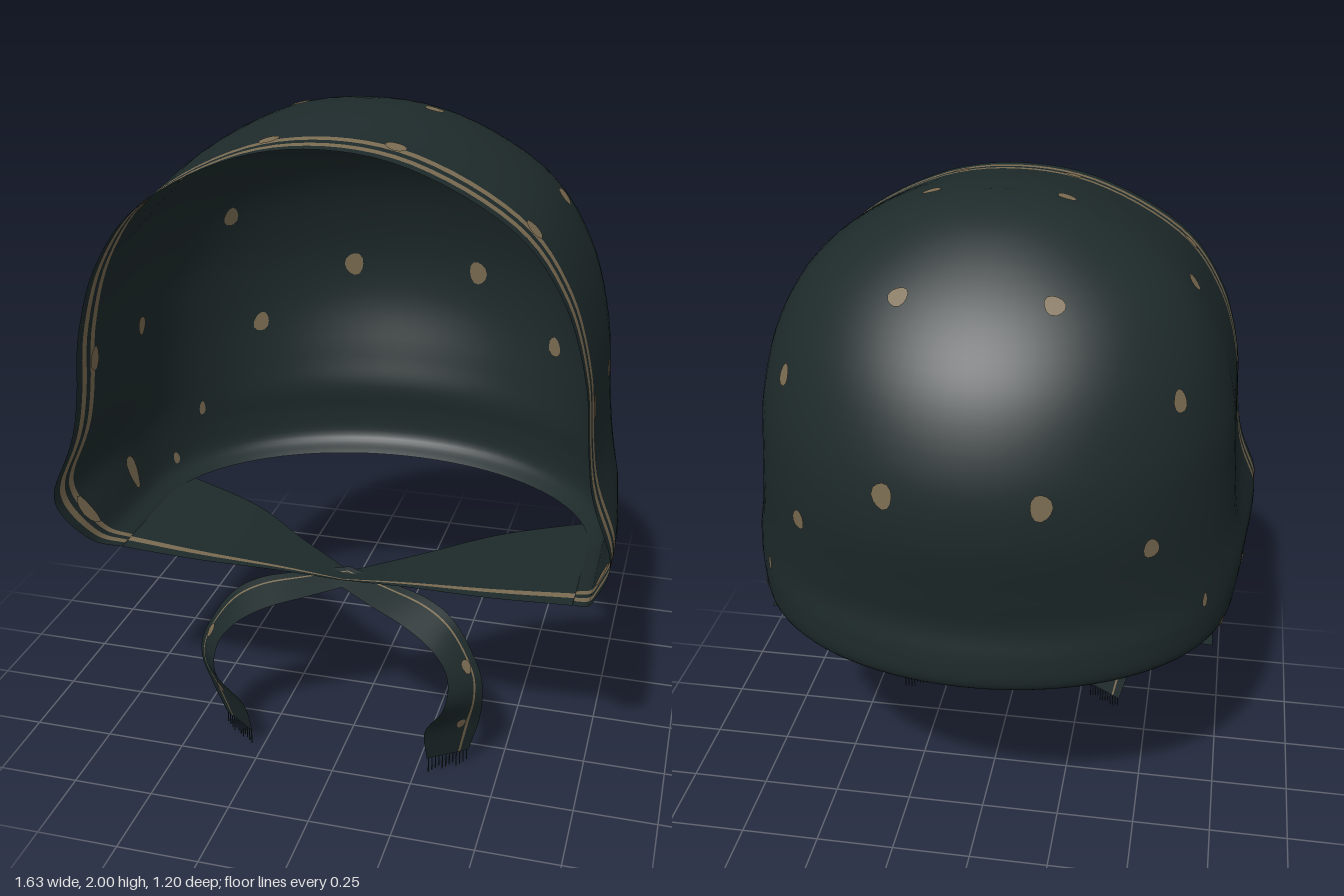
import * as THREE from 'three';
import { mergeVertices } from 'three/addons/utils/BufferGeometryUtils.js';

const fabric = new THREE.MeshStandardMaterial({ color: 0x1e2a2b, side: THREE.DoubleSide });
fabric.name = 'darkFabric';
const tan = new THREE.MeshStandardMaterial({ color: 0x7b6c52, side: THREE.DoubleSide });
tan.name = 'tanPrint';

const V = (x, y, z) => new THREE.Vector3(x, y, z);
const clamp = THREE.MathUtils.clamp;
const spline = (pts) => new THREE.CatmullRomCurve3(pts.map((p) => V(...p)), false, 'catmullrom');

// Hood outline by height: half width, height, back depth, front depth
const rows = [
  [0.70, 0.645, -0.48, 0.41], [0.75, 0.69, -0.535, 0.48], [0.765, 0.78, -0.54, 0.56],
  [0.765, 0.88, -0.53, 0.60], [0.75, 1.0, -0.555, 0.585], [0.733, 1.2, -0.595, 0.56],
  [0.715, 1.4, -0.58, 0.555], [0.65, 1.62, -0.495, 0.55], [0.515, 1.81, -0.335, 0.545],
  [0.26, 1.957, -0.12, 0.54], [0, 2.0, 0.08, 0.535], [-0.26, 1.957, 0.28, 0.535],
];
const outline = spline(rows.map((r) => r.slice(0, 3)));
const frontLine = spline(rows.map((r) => [r[3], 0, 0]));
const MID = 0.06, BEND = 0.6, TOP = (rows.length - 2) / (rows.length - 1);

// Hood surface: s runs from one front edge round the back to the other, t from rim to crown
function hoodAt(s, t) {
  const p = outline.getPoint(t * TOP);
  const front = frontLine.getPoint(t * TOP).x;
  const a = Math.abs(s);
  let x = p.x, z;
  if (a < BEND) {
    const angle = (a / BEND) * Math.PI / 2;
    x *= Math.sin(angle);
    z = MID - (MID - p.z) * Math.cos(angle);
  } else {
    z = MID + (front - MID) * (a - BEND) / (1 - BEND);
  }
  // cheek flare and slight dip of the front edge
  const flare = 0.05 * Math.exp(-(((p.y - 0.9) / 0.13) ** 2)) * THREE.MathUtils.smoothstep(z, -0.2, 0.5);
  const dip = 0.05 * THREE.MathUtils.smoothstep(z, 0.1, 0.56) * clamp((p.y - 1.2) / 0.75, 0, 1);
  return V(Math.sign(s) * (x + flare), p.y - dip, z);
}

// Grid over a surface; columns whose middle lies in a stripe take the tan material
function sheet(name, at, us, nv, isStripe) {
  const pos = [], index = [], geo = new THREE.BufferGeometry();
  for (const u of us) for (let j = 0; j <= nv; j++) pos.push(...at(u, j / nv).toArray());
  for (let i = 0; i < us.length - 1; i++) {
    geo.addGroup(index.length, nv * 6, isStripe((us[i] + us[i + 1]) / 2) ? 1 : 0);
    for (let j = 0; j < nv; j++) {
      const a = i * (nv + 1) + j, b = a + nv + 1;
      index.push(a, a + 1, b, b, a + 1, b + 1);
    }
  }
  geo.setAttribute('position', new THREE.Float32BufferAttribute(pos, 3));
  geo.setIndex(index);
  const merged = mergeVertices(geo, 1e-4);
  merged.computeVertexNormals();
  const mesh = new THREE.Mesh(merged, [fabric, tan]);
  mesh.name = name;
  return mesh;
}

// Irregular spot lying on both faces of a surface
function spot(at, u, v, ru, rv) {
  const e = 1e-3, n = 12, pos = [], nor = [], index = [];
  const du = at(u + e, v).sub(at(u - e, v)).divideScalar(2 * e);
  const dv = at(u, v + e).sub(at(u, v - e)).divideScalar(2 * e);
  const normal = dv.clone().cross(du).normalize();
  for (const side of [1, -1]) {
    const base = pos.length / 3;
    for (let k = 0; k <= n; k++) {
      const a = (k / n) * Math.PI * 2, r = k === n ? 0 : 1 + 0.06 * Math.sin(3 * a + u * 9);
      const p = at(u + r * ru * Math.cos(a) / du.length(), v + r * rv * Math.sin(a) / dv.length());
      pos.push(...p.addScaledVector(normal, side * 0.004).toArray());
      nor.push(...normal.toArray());
      if (k < n) index.push(base + n, base + (k + 1) % n, base + k);
    }
  }
  const geo = new THREE.BufferGeometry();
  geo.setAttribute('position', new THREE.Float32BufferAttribute(pos, 3));
  geo.setAttribute('normal', new THREE.Float32BufferAttribute(nor, 3));
  geo.setIndex(index);
  const mesh = new THREE.Mesh(geo, tan);
  mesh.name = 'spot';
  return mesh;
}

// Ribbon surface between two edge curves, mirrored by m
function ribbonSurface(edgeA, edgeB, m) {
  const a = spline(edgeA), b = spline(edgeB);
  return (u, v) => {
    const p = a.getPoint(v).lerp(b.getPoint(v), u);
    p.x *= m;
    return p;
  };
}

export function createModel() {
  const model = new THREE.Group();
  model.name = 'headscarf';

  // hood with two tan border stripes
  const border = [0.904, 0.926, 0.947, 0.97, 1];
  const us = border.map((b) => -b).reverse();
  for (let i = 1; i < 64; i++) us.push(border[0] * (i / 32 - 1));
  us.push(...border);
  const inStripe = (s) => {
    const a = Math.abs(s);
    return (a > border[0] && a < border[1]) || (a > border[2] && a < border[3]);
  };
  model.add(sheet('hood', hoodAt, us, 56, inStripe));

  // spots and border scallops: target x, y, z, radius across, radius up
  const spots = [
    [0.22, 1.82, -0.335, 0.03, 0.03], [0.57, 1.53, -0.3, 0.026, 0.034], [0.22, 1.31, -0.57, 0.032, 0.04],
    [0.5, 1.13, -0.4, 0.028, 0.033], [0.56, 1.74, 0.065, 0.03, 0.028], [0.2, 1.97, 0.07, 0.03, 0.028],
    [0.73, 1.27, 0.1, 0.026, 0.03], [0.77, 0.77, 0.14, 0.026, 0.062], [0.7, 0.86, -0.24, 0.012, 0.025],
    [0.72, 0.72, -0.1, 0.014, 0.02], [0.53, 1.74, 0.43, 0.027, 0.03], [0.18, 1.93, 0.43, 0.027, 0.03],
    [0.73, 1.28, 0.44, 0.027, 0.038], [0.79, 0.78, 0.46, 0.027, 0.065],
  ];
  const samples = [];
  for (let i = 0; i <= 120; i++) {
    for (let j = 1; j < 120; j++) samples.push([i / 120, j / 120, hoodAt(i / 120, j / 120)]);
  }
  const spotGroup = new THREE.Group();
  spotGroup.name = 'hoodSpots';
  for (const [x, y, z, ru, rv] of spots) {
    const target = V(x, y, z);
    let best = samples[0];
    for (const q of samples) {
      if (q[2].distanceToSquared(target) < best[2].distanceToSquared(target)) best = q;
    }
    for (const m of [-1, 1]) spotGroup.add(spot(hoodAt, m * best[0], best[1], ru, rv));
  }
  model.add(spotGroup);

  for (const m of [-1, 1]) {
    const side = m > 0 ? 'left' : 'right';

    // flap folded under the cheek towards the knot
    const flap = ribbonSurface(
      [[0.70, 0.645, 0.41], [0.46, 0.64, 0.42], [0.2, 0.622, 0.39], [0, 0.605, 0.37]],
      [[0.71, 0.645, -0.14], [0.42, 0.612, -0.04], [0.2, 0.605, 0.14], [0, 0.595, 0.29]], m);
    model.add(sheet(side + 'ChinFlap', flap, [0, 0.08, 0.13, 0.35, 0.5, 0.65, 0.8, 1], 20,
      (u) => u > 0.08 && u < 0.13));

    // loose end hanging from the knot: outer edge, then inner edge
    const tie = ribbonSurface(
      [[0, 0.61, 0.29], [0.14, 0.59, 0.32], [0.27, 0.565, 0.35], [0.36, 0.51, 0.38],
        [0.435, 0.39, 0.41], [0.45, 0.30, 0.415], [0.435, 0.18, 0.38], [0.40, 0.05, 0.35]],
      [[0, 0.58, 0.37], [0.1, 0.56, 0.42], [0.22, 0.525, 0.46], [0.31, 0.47, 0.485],
        [0.36, 0.40, 0.51], [0.355, 0.31, 0.535], [0.29, 0.19, 0.49], [0.285, 0.05, 0.43]], m);
    model.add(sheet(side + 'TieEnd', tie, [0, 0.2, 0.25, 0.4, 0.6, 0.8, 1], 40,
      (u) => u > 0.2 && u < 0.25));
    for (const v of [0.55, 0.84]) model.add(spot(tie, 0.36, v, 0.016, 0.024));

    // fringe threads
    const fringe = new THREE.Group();
    fringe.name = side + 'Fringe';
    for (let i = 0; i < 12; i++) {
      const length = 0.035 + 0.015 * ((i * 5) % 4) / 3;
      const thread = new THREE.Mesh(new THREE.BoxGeometry(0.003, length, 0.003), fabric);
      thread.position.copy(tie((i + 0.5) / 12, 1));
      thread.position.y -= length / 2;
      thread.name = 'thread';
      fringe.add(thread);
    }
    model.add(fringe);
  }
  return model;
}
